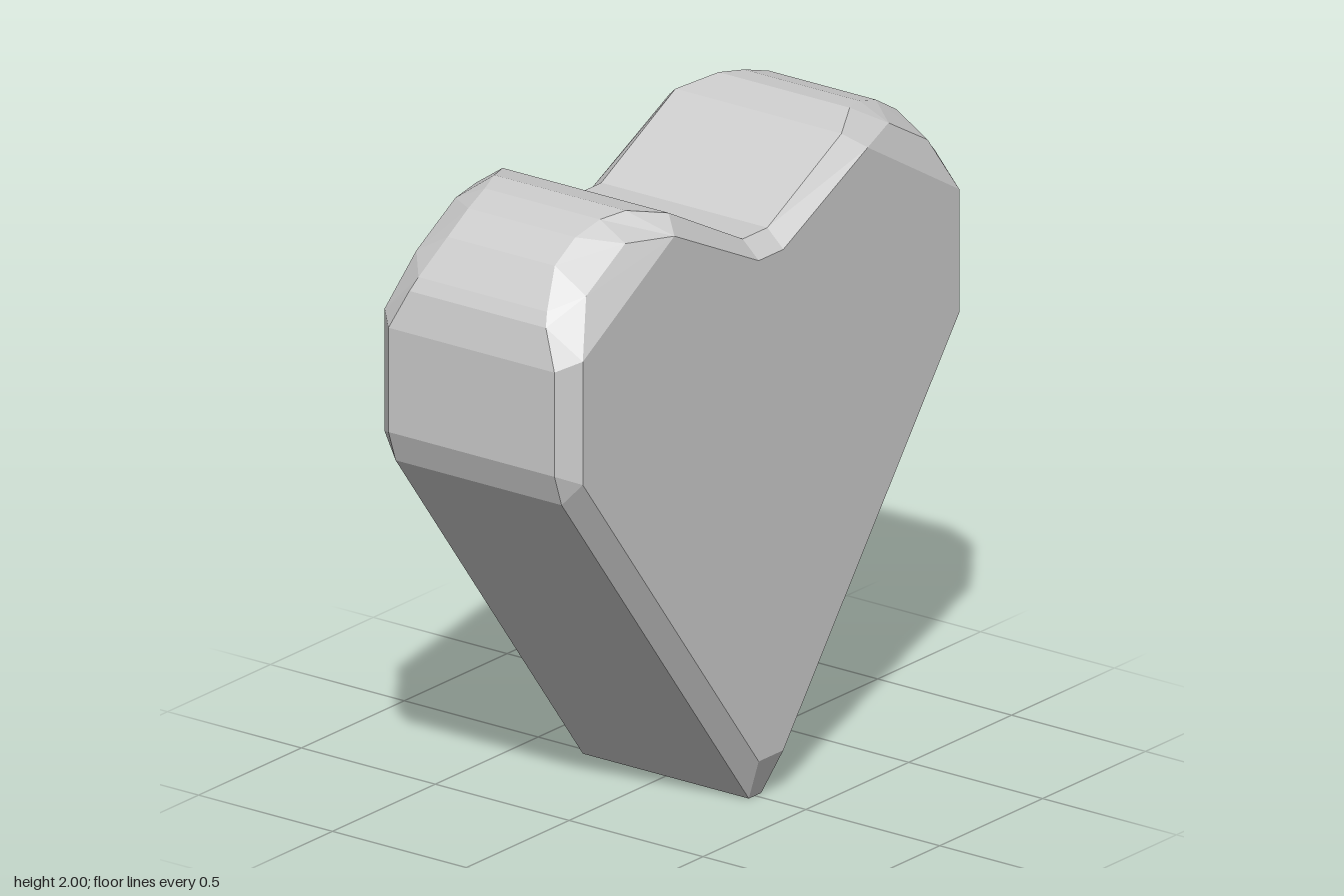
import * as THREE from 'three';

const V = (x, y, z) => new THREE.Vector3(x, y, z);

// Corners of the front face on the +x side, from tip to notch
const tip = V(0.06, 0.14, 0.37);
const hip = V(0.915, 1.27, 0.37);
const shoulder = V(0.915, 1.66, 0.37);
const crown = V(0.47, 1.925, 0.37);
const notch = V(0.06, 1.725, 0.37);
// Corners of the wider bevel on the lobe
const bevelOut = V(0.83, 1.83, 0.317);
const bevelIn = V(0.64, 1.94, 0.317);

// Each column: outer rim point, bevel point, face point
const half = [
  [V(0.03, 0, 0.31), tip, tip],
  [V(0.94, 1.2, 0.31), hip, hip],
  [V(0.975, 1.3, 0.31), hip, hip],
  [V(0.975, 1.63, 0.31), shoulder, shoulder],
  [V(0.945, 1.75, 0.255), shoulder, shoulder],
  [V(0.92, 1.79, 0.24), bevelOut, shoulder],
  [V(0.83, 1.9, 0.2), bevelOut, shoulder],
  [V(0.73, 1.96, 0.2), bevelIn, crown],
  [V(0.63, 1.99, 0.215), bevelIn, crown],
  [V(0.545, 2, 0.245), crown, crown],
  [V(0.42, 1.97, 0.31), crown, crown],
  [V(0.06, 1.78, 0.31), notch, notch],
];

function heartGeometry() {
  const mirror = (p, sx, sz) => V(p.x * sx, p.y, p.z * sz);
  const columns = [
    ...half,
    ...half.slice().reverse().map((c) => c.map((p) => mirror(p, -1, 1))),
  ].map(([rim, bevel, face]) => [
    face, bevel, rim,
    ...[rim, bevel, face].map((p) => mirror(p, 1, -1)),
  ]);

  const positions = [];
  const tri = (a, b, c) => {
    if (a.equals(b) || b.equals(c) || c.equals(a)) return;
    for (const p of [a, b, c]) positions.push(p.x, p.y, p.z);
  };

  // Bevels and side wall, from the front face round to the back face
  columns.forEach((a, i) => {
    const b = columns[(i + 1) % columns.length];
    for (let k = 0; k < 5; k++) {
      tri(a[k], a[k + 1], b[k + 1]);
      tri(a[k], b[k + 1], b[k]);
    }
  });

  // Flat front and back faces
  const outline = columns.map((c) => c[0])
    .filter((p, i, all) => !p.equals(all[(i + 1) % all.length]));
  const flat = outline.map((p) => new THREE.Vector2(p.x, p.y));
  for (const [a, b, c] of THREE.ShapeUtils.triangulateShape(flat, [])) {
    const [p, q, r] = [outline[a], outline[b], outline[c]];
    tri(p, q, r);
    tri(mirror(p, 1, -1), mirror(r, 1, -1), mirror(q, 1, -1));
  }

  const geometry = new THREE.BufferGeometry();
  geometry.setAttribute('position', new THREE.Float32BufferAttribute(positions, 3));
  geometry.computeVertexNormals();
  return geometry;
}

export function createModel() {
  const group = new THREE.Group();
  group.name = 'heart';
  const material = new THREE.MeshStandardMaterial({ color: 0xcccccc, flatShading: true });
  const body = new THREE.Mesh(heartGeometry(), material);
  body.name = 'heartBody';
  group.add(body);
  return group;
}
